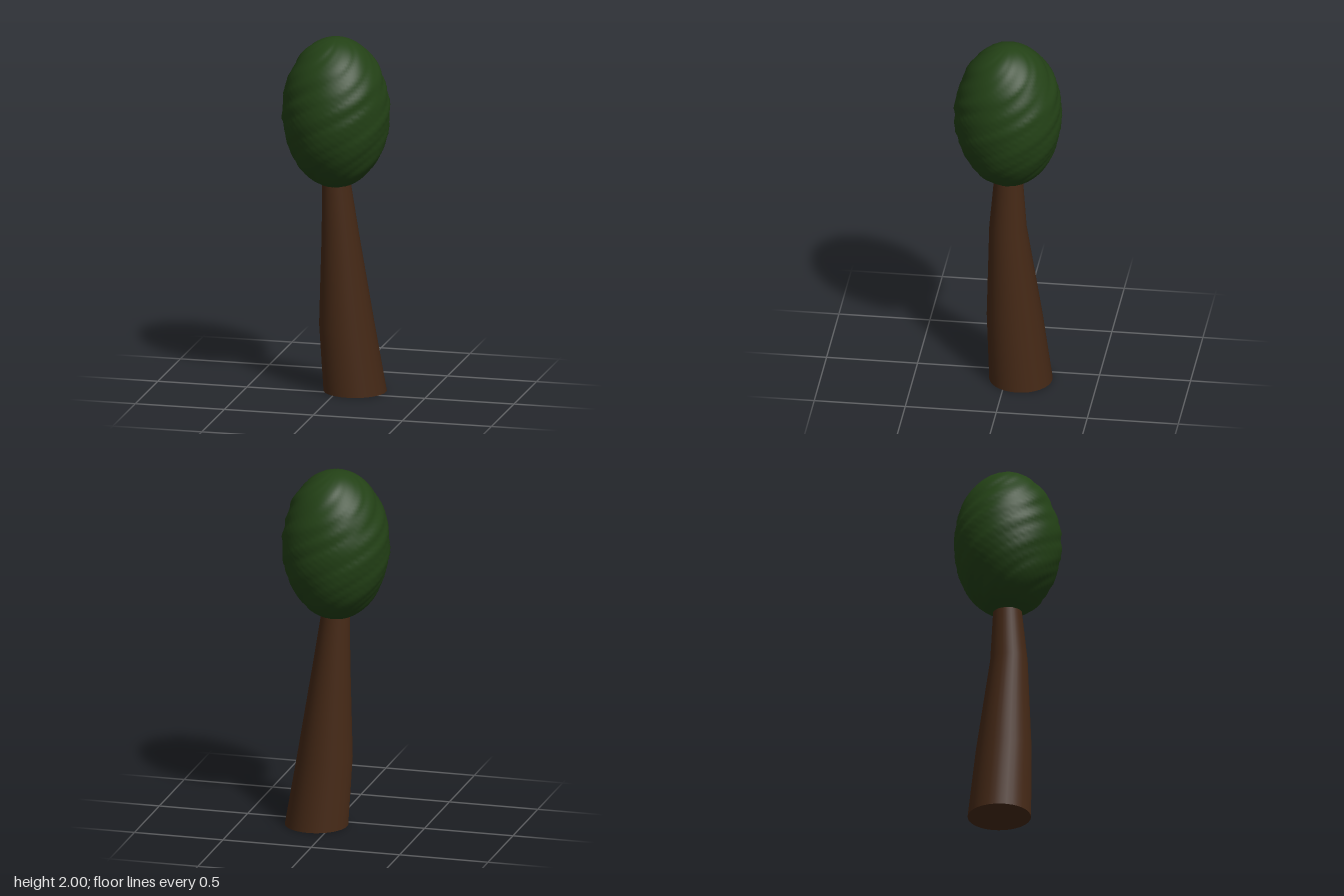
import * as THREE from 'three';
import { mergeVertices } from 'three/addons/utils/BufferGeometryUtils.js';

// Trunk cross-sections from the ground up: height, centre x, centre z, radius
const TRUNK_RINGS = [
  [0, 0.088, -0.08, 0.173],
  [0.38, 0.052, -0.04, 0.152],
  [0.9, 0.025, 0, 0.102],
  [1.2, 0.002, 0, 0.077],
];

// Leaning, tapering trunk: a cylinder whose rows follow the cross-sections
function makeTrunk() {
  const rows = TRUNK_RINGS.length - 1;
  const geometry = new THREE.CylinderGeometry(1, 1, 1, 32, rows);
  const p = geometry.attributes.position;
  for (let i = 0; i < p.count; i++) {
    const [y, cx, cz, r] = TRUNK_RINGS[Math.round((p.getY(i) + 0.5) * rows)];
    p.setXYZ(i, cx + p.getX(i) * r, y, cz + p.getZ(i) * r);
  }
  const trunk = new THREE.Mesh(geometry, new THREE.MeshStandardMaterial({ color: 0x472a17 }));
  trunk.name = 'trunk';
  return trunk;
}

// Egg-shaped crown with shallow ridges that spiral around it
function makeCrown() {
  const radius = 0.292, halfHeight = 0.42, centreY = 1.58, twist = 6;
  const ridges = [[3, 0.012, 0.4], [7, 0.01, 1.9], [12, 0.008, 4.1], [19, 0.006, 2.6], [29, 0.003, 5.2]];
  let geometry = new THREE.SphereGeometry(1, 96, 64);
  const p = geometry.attributes.position;
  for (let i = 0; i < p.count; i++) {
    const x = p.getX(i), y = p.getY(i), z = p.getZ(i);
    const angle = Math.atan2(x, z) - twist * halfHeight * y;
    let swell = 1;
    for (const [count, depth, phase] of ridges) {
      swell += depth * Math.sin(count * angle + phase + 2 * Math.sin(4 * y + phase));
    }
    p.setXYZ(i, x * radius * swell, centreY + y * halfHeight, z * radius * swell);
  }
  // Weld the seam so the shading stays continuous
  geometry.deleteAttribute('uv');
  geometry.deleteAttribute('normal');
  geometry = mergeVertices(geometry, 1e-5);
  geometry.computeVertexNormals();
  const crown = new THREE.Mesh(geometry, new THREE.MeshStandardMaterial({ color: 0x234116 }));
  crown.name = 'crown';
  return crown;
}

export function createModel() {
  const tree = new THREE.Group();
  tree.name = 'tree';
  tree.add(makeTrunk(), makeCrown());
  return tree;
}
